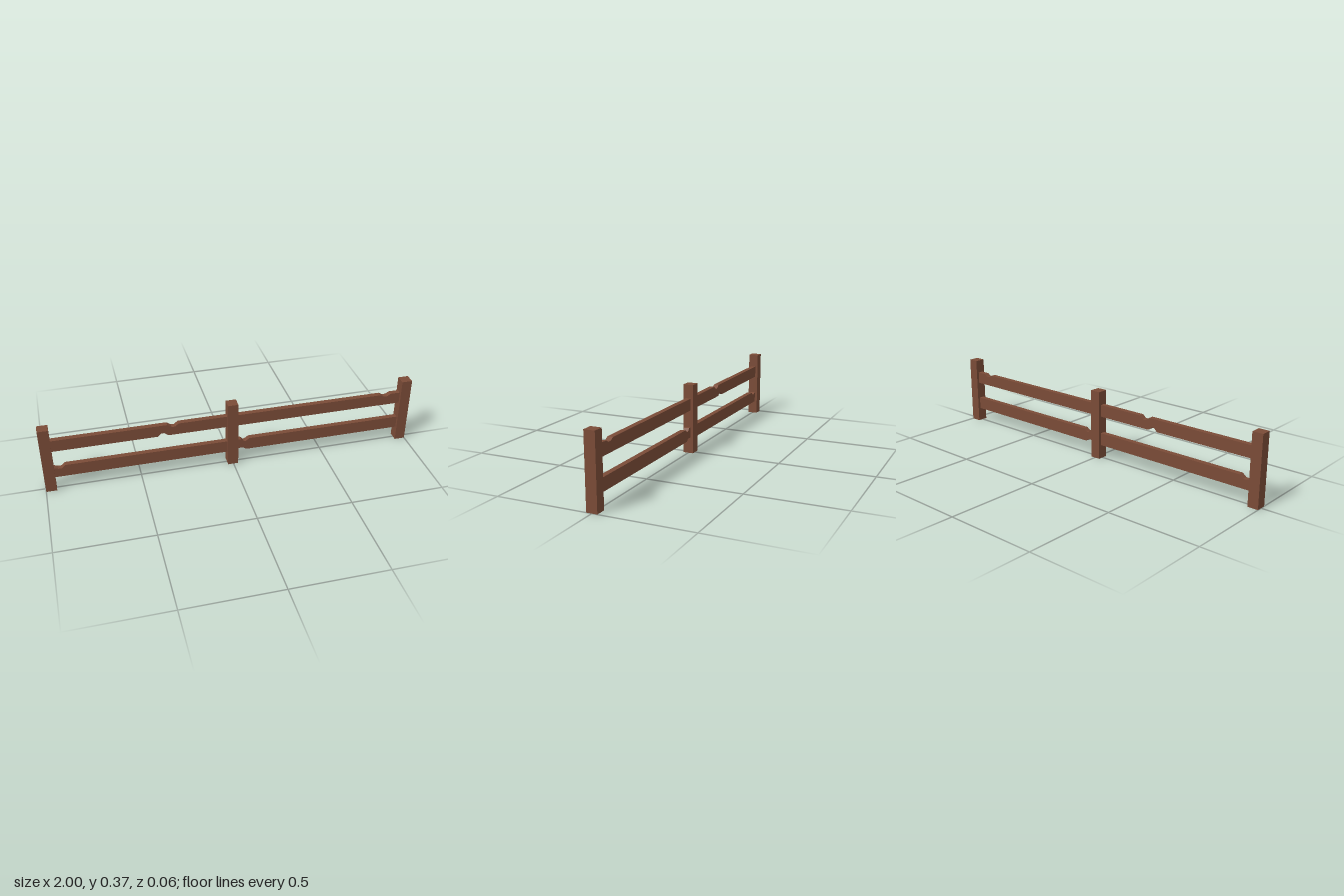
import * as THREE from 'three';

const wood = new THREE.MeshStandardMaterial({ color: 0x7a4b37, flatShading: true });
const POST = 0.056, HEIGHT = 0.372, RAIL = 0.028;

// Square post standing on the ground
function post(name, x) {
  const mesh = new THREE.Mesh(new THREE.BoxGeometry(POST, HEIGHT, POST), wood);
  mesh.name = name;
  mesh.position.set(x, HEIGHT / 2, 0);
  return mesh;
}

// Plank with chipped edges: bottom outline left to right, then top right to left
function rail(name, outline) {
  const shape = new THREE.Shape(outline.map(([x, y]) => new THREE.Vector2(x, y)));
  const geometry = new THREE.ExtrudeGeometry(shape, { depth: RAIL, bevelEnabled: false });
  geometry.translate(0, 0, -RAIL / 2);
  const mesh = new THREE.Mesh(geometry, wood);
  mesh.name = name;
  return mesh;
}

export function createModel() {
  const fence = new THREE.Group();
  fence.name = 'fence';

  fence.add(post('rightPost', -0.972), post('middlePost', -0.002), post('leftPost', 0.972));

  // Upper rails: chips above and below on one side, a small chip near the far post on the other
  fence.add(rail('upperRightRail', [
    [-0.95, 0.235], [-0.4, 0.235], [-0.383, 0.252], [-0.367, 0.252], [-0.345, 0.235], [-0.01, 0.235],
    [-0.01, 0.299], [-0.29, 0.299], [-0.308, 0.283], [-0.327, 0.283], [-0.35, 0.299], [-0.95, 0.299],
  ]));
  fence.add(rail('upperLeftRail', [
    [0.01, 0.235], [0.95, 0.235],
    [0.95, 0.299], [0.89, 0.299], [0.87, 0.287], [0.85, 0.287], [0.83, 0.299], [0.01, 0.299],
  ]));

  // Lower rails: chipped where they meet the outer and middle posts
  fence.add(rail('lowerRightRail', [
    [-0.95, 0.075], [-0.01, 0.075],
    [-0.01, 0.142], [-0.885, 0.142], [-0.905, 0.125], [-0.922, 0.125], [-0.95, 0.135],
  ]));
  fence.add(rail('lowerLeftRail', [
    [0.01, 0.088], [0.045, 0.088], [0.056, 0.088], [0.075, 0.075], [0.95, 0.075],
    [0.95, 0.142], [0.09, 0.142], [0.07, 0.127], [0.06, 0.127], [0.045, 0.142], [0.01, 0.142],
  ]));

  return fence;
}
